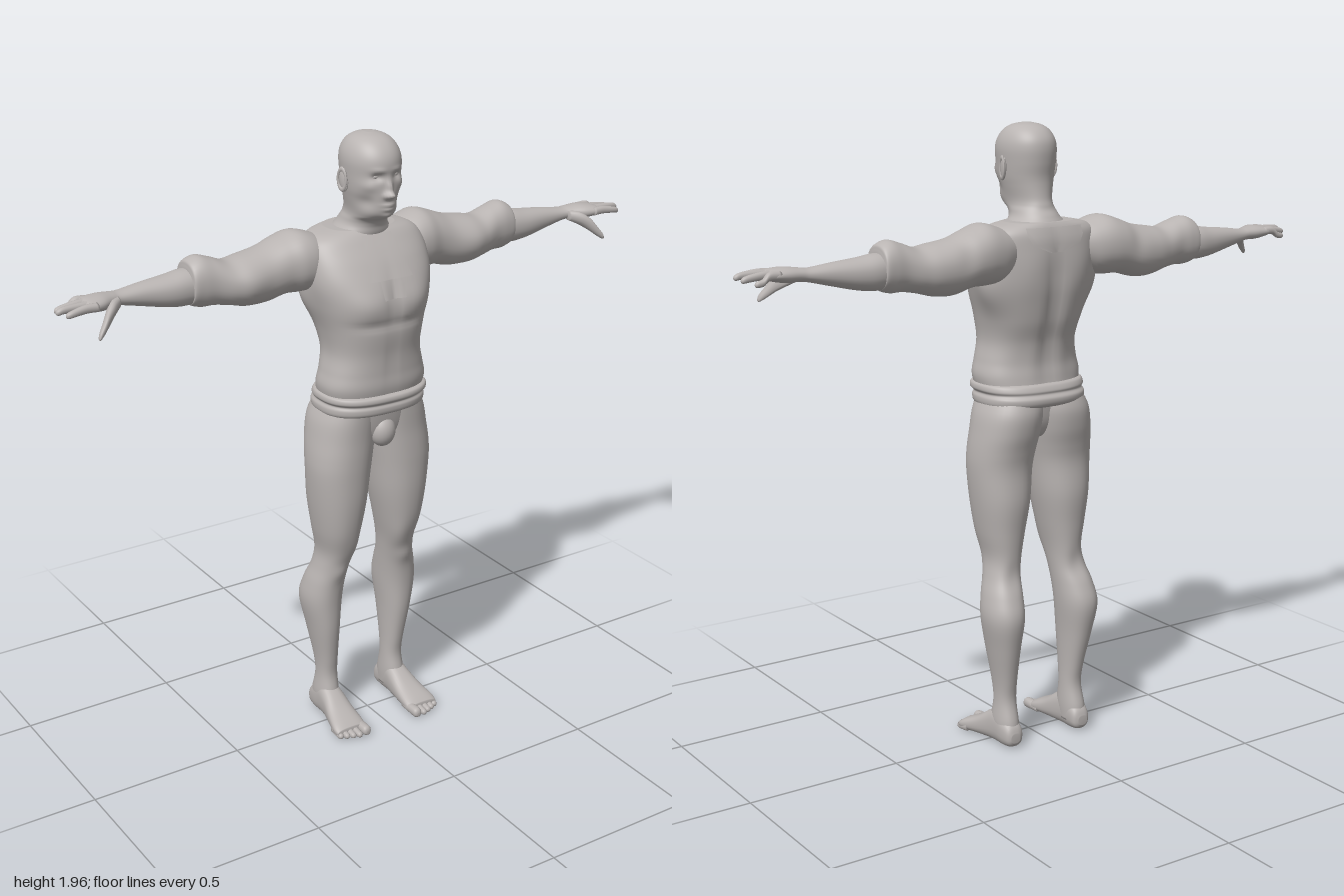
import * as THREE from 'three';

const grey = new THREE.MeshStandardMaterial({ color: 0xb9b4b2 });
grey.name = 'warm grey';
const greyPlate = grey.clone();
greyPlate.side = THREE.DoubleSide;

// Closed smooth skin through cross-sections [t, aMin, aMax, bMin, bMax], t ascending.
// Axis x: a=y b=z. Axis y: a=z b=x. Axis z: a=x b=y.
function loft(axis, sections, { seg = 32, sub = 5, pow = 2.2 } = {}) {
  const at = (i) => sections[Math.min(Math.max(i, 0), sections.length - 1)];
  const rings = [];
  for (let i = 0; i < sections.length - 1; i++)
    for (let s = 0; s < sub; s++) {
      const u = s / sub;
      rings.push(at(i).map((_, k) => {
        const [p, q, r, w] = [at(i - 1)[k], at(i)[k], at(i + 1)[k], at(i + 2)[k]];
        return q + 0.5 * u * (r - p + u * (2 * p - 5 * q + 4 * r - w + u * (3 * (q - r) + w - p)));
      }));
    }
  rings.push(at(sections.length));
  const pos = [], idx = [];
  const put = (t, a, b) => pos.push(...(axis === 'x' ? [t, a, b] : axis === 'y' ? [b, t, a] : [a, b, t]));
  const bend = (v) => Math.sign(v) * Math.abs(v) ** (2 / pow);
  for (const [t, a0, a1, b0, b1] of rings)
    for (let j = 0; j < seg; j++) {
      const th = (j / seg) * Math.PI * 2;
      put(t, (a0 + a1) / 2 + (a1 - a0) / 2 * bend(Math.cos(th)), (b0 + b1) / 2 + (b1 - b0) / 2 * bend(Math.sin(th)));
    }
  const last = rings.length - 1, pole = rings.length * seg;
  for (const r of [rings[0], rings[last]]) put(r[0], (r[1] + r[2]) / 2, (r[3] + r[4]) / 2);
  for (let j = 0; j < seg; j++) {
    const k = (j + 1) % seg;
    for (let i = 0; i < last; i++) {
      const p = i * seg + j, q = i * seg + k;
      idx.push(p, q, p + seg, q, q + seg, p + seg);
    }
    idx.push(pole, k, j, pole + 1, last * seg + j, last * seg + k);
  }
  const g = new THREE.BufferGeometry();
  g.setAttribute('position', new THREE.Float32BufferAttribute(pos, 3));
  g.setIndex(idx);
  g.computeVertexNormals();
  return g;
}

// Push vertices with soft bumps [x,y,z, rx,ry,rz, dx,dy,dz], mirrored over x
function sculpt(g, bumps) {
  const p = g.attributes.position;
  const all = bumps.flatMap((b) => (b[0] === 0 ? [b] : [b, b.map((v, i) => (i === 0 || i === 6 ? -v : v))]));
  for (let i = 0; i < p.count; i++) {
    const v = [p.getX(i), p.getY(i), p.getZ(i)], out = [...v];
    for (const b of all) {
      let d = 0;
      for (let k = 0; k < 3; k++) d += ((v[k] - b[k]) / b[3 + k]) ** 2;
      const f = Math.exp(-d);
      for (let k = 0; k < 3; k++) out[k] += b[6 + k] * f;
    }
    p.setXYZ(i, ...out);
  }
  g.computeVertexNormals();
  return g;
}

function mirrored(g) {
  const m = g.clone().scale(-1, 1, 1), ix = m.index.array;
  for (let i = 0; i < ix.length; i += 3) [ix[i], ix[i + 1]] = [ix[i + 1], ix[i]];
  m.computeVertexNormals();
  return m;
}

// Thin plate following a surface; rows are [y, halfWidth]
function plate(target, rows, dir) {
  const ray = new THREE.Raycaster(), pos = [], idx = [], n = 12;
  rows.forEach(([y, w], r) => {
    for (let i = 0; i <= n; i++) {
      const x = w * (2 * i / n - 1);
      ray.set(new THREE.Vector3(x, y, dir), new THREE.Vector3(0, 0, -dir));
      const hit = ray.intersectObject(target)[0];
      pos.push(x, y, (hit ? hit.point.z : 0) + dir * 0.005);
      if (r && i) {
        const k = r * (n + 1) + i, q = k - n - 1;
        idx.push(...(dir > 0 ? [q - 1, k - 1, q, q, k - 1, k] : [q - 1, q, k - 1, q, k, k - 1]));
      }
    }
  });
  const g = new THREE.BufferGeometry();
  g.setAttribute('position', new THREE.Float32BufferAttribute(pos, 3));
  g.setIndex(idx);
  g.computeVertexNormals();
  return g;
}

export function createModel() {
  const model = new THREE.Group();
  model.name = 'figure';
  const add = (name, g, mat = grey) => {
    const m = new THREE.Mesh(g, mat);
    m.name = name;
    model.add(m);
    return m;
  };
  const pair = (name, g) => {
    add('left' + name, g);
    add('right' + name, mirrored(g));
  };

  // Head and neck with sculpted face
  add('head', sculpt(loft('y', [
    [1.60, -0.13, 0.02, -0.11, 0.11], [1.65, -0.13, 0.045, -0.095, 0.095], [1.68, -0.115, 0.052, -0.073, 0.073],
    [1.70, -0.1, 0.065, -0.066, 0.066], [1.715, -0.094, 0.095, -0.063, 0.063], [1.735, -0.088, 0.113, -0.065, 0.065],
    [1.77, -0.084, 0.117, -0.073, 0.073], [1.80, -0.084, 0.118, -0.079, 0.079], [1.84, -0.09, 0.118, -0.083, 0.083],
    [1.88, -0.093, 0.12, -0.085, 0.085], [1.91, -0.087, 0.11, -0.079, 0.079], [1.935, -0.068, 0.088, -0.064, 0.064],
    [1.95, -0.042, 0.06, -0.042, 0.042], [1.957, -0.01, 0.025, -0.014, 0.014],
  ], { seg: 88, sub: 8, pow: 2.1 }), [
    [0, 1.789, 0.12, 0.013, 0.011, 0.05, 0, 0, 0.024], [0, 1.812, 0.12, 0.009, 0.02, 0.05, 0, 0, 0.014],
    [0.013, 1.785, 0.115, 0.007, 0.007, 0.04, 0, 0, 0.007], [0.033, 1.842, 0.11, 0.016, 0.011, 0.04, 0, 0, -0.012],
    [0.032, 1.862, 0.11, 0.022, 0.008, 0.04, 0, 0, 0.004], [0, 1.757, 0.115, 0.02, 0.005, 0.04, 0, 0, 0.007],
    [0, 1.744, 0.115, 0.017, 0.005, 0.04, 0, 0, 0.007], [0, 1.72, 0.11, 0.018, 0.012, 0.04, 0, 0, 0.008],
    [0.055, 1.815, 0.09, 0.02, 0.016, 0.04, 0.002, 0, 0.005], [0.058, 1.765, 0.08, 0.02, 0.022, 0.04, -0.006, 0, -0.004],
  ]));
  pair('Eye', new THREE.SphereGeometry(0.012, 16, 12).scale(1.1, 0.75, 0.8).translate(0.033, 1.843, 0.092));
  const ear = new THREE.SphereGeometry(0.02, 20, 14).scale(0.4, 1.75, 0.85).rotateX(-0.12).rotateY(-0.25);
  pair('Ear', ear.translate(0.087, 1.822, 0.006));
  const rim = new THREE.TorusGeometry(0.016, 0.004, 8, 24).scale(1, 1.9, 1).rotateY(Math.PI / 2 - 0.25);
  pair('EarRim', rim.translate(0.092, 1.824, 0.005));

  // Shirt body with chest, shoulder blades, spine and waist
  const torso = add('shirtBody', sculpt(loft('y', [
    [1.13, -0.115, 0.12, -0.16, 0.16], [1.19, -0.105, 0.135, -0.174, 0.174], [1.24, -0.1, 0.136, -0.164, 0.164],
    [1.30, -0.11, 0.139, -0.153, 0.153], [1.37, -0.135, 0.148, -0.163, 0.163], [1.45, -0.15, 0.149, -0.185, 0.185],
    [1.52, -0.153, 0.134, -0.202, 0.202], [1.58, -0.154, 0.103, -0.205, 0.205], [1.63, -0.15, 0.066, -0.195, 0.195],
    [1.655, -0.14, 0.045, -0.165, 0.165], [1.668, -0.132, 0.03, -0.11, 0.11],
  ], { seg: 72, sub: 7, pow: 2.5 }), [
    [0.085, 1.465, 0.15, 0.07, 0.05, 0.1, 0, 0, 0.014], [0, 1.47, 0.15, 0.016, 0.07, 0.08, 0, 0, -0.008],
    [0.07, 1.4, 0.15, 0.07, 0.014, 0.08, 0, 0, -0.006], [0, 1.28, 0.14, 0.012, 0.08, 0.06, 0, 0, -0.004],
    [0.2, 1.46, -0.08, 0.06, 0.07, 0.07, 0.022, 0, 0], [0, 1.4, -0.15, 0.025, 0.18, 0.08, 0, 0, 0.016],
    [0.09, 1.52, -0.15, 0.06, 0.07, 0.07, 0, 0, -0.008], [0.05, 1.24, -0.11, 0.03, 0.07, 0.05, 0, 0, -0.005],
  ]));
  torso.updateMatrixWorld();

  // Open neck of the shirt, front and back
  add('neckOpening', plate(torso, [[1.655, 0.052], [1.63, 0.054], [1.6, 0.06], [1.57, 0.067], [1.535, 0.078]], 1), greyPlate);
  add('neckSlit', plate(torso, [[1.535, 0.04], [1.51, 0.04], [1.48, 0.038]], 1), greyPlate);
  add('backNeckOpening', plate(torso, [[1.655, 0.1], [1.63, 0.1], [1.605, 0.085], [1.59, 0.05], [1.58, 0.025]], -1), greyPlate);

  // Waistband made of two rolls
  add('waistband', loft('y', [
    [1.098, -0.115, 0.1, -0.155, 0.155], [1.108, -0.135, 0.132, -0.174, 0.174], [1.128, -0.139, 0.138, -0.177, 0.177],
    [1.141, -0.129, 0.134, -0.171, 0.171], [1.152, -0.13, 0.147, -0.179, 0.179], [1.167, -0.122, 0.145, -0.177, 0.177],
    [1.172, -0.11, 0.13, -0.165, 0.165],
  ], { seg: 56, sub: 5, pow: 2.5 }));

  // Hips between the legs
  add('hips', loft('y', [
    [0.985, -0.03, 0.05, -0.03, 0.03], [1.0, -0.07, 0.085, -0.08, 0.08], [1.05, -0.095, 0.103, -0.15, 0.15],
    [1.13, -0.105, 0.115, -0.16, 0.16],
  ], { seg: 40 }));
  add('crotch', new THREE.SphereGeometry(0.045, 24, 16).scale(0.95, 1.15, 0.9).translate(0, 1.035, 0.084));

  // Legs
  pair('Leg', sculpt(loft('y', [
    [0.03, -0.114, -0.01, 0.096, 0.162], [0.08, -0.112, 0.0, 0.093, 0.166], [0.15, -0.095, -0.012, 0.095, 0.16],
    [0.22, -0.104, -0.004, 0.095, 0.165], [0.33, -0.128, 0.012, 0.09, 0.185], [0.43, -0.145, 0.018, 0.08, 0.203],
    [0.50, -0.125, 0.025, 0.075, 0.195], [0.56, -0.1, 0.036, 0.07, 0.178], [0.62, -0.094, 0.058, 0.062, 0.17],
    [0.70, -0.1, 0.084, 0.045, 0.185], [0.80, -0.11, 0.099, 0.025, 0.2], [0.90, -0.105, 0.104, 0.012, 0.209],
    [0.96, -0.113, 0.105, 0.002, 0.208], [1.02, -0.127, 0.105, -0.008, 0.2], [1.08, -0.132, 0.108, -0.015, 0.188],
    [1.13, -0.118, 0.11, -0.015, 0.165],
  ], { seg: 40 }), [
    [0.122, 0.55, 0.035, 0.03, 0.03, 0.04, 0, 0, 0.008], [0.12, 0.56, -0.1, 0.03, 0.05, 0.04, 0, 0, 0.008],
    [0.09, 0.64, 0.06, 0.03, 0.05, 0.05, -0.004, 0, 0.004],
  ]));

  // Feet and toes
  pair('Foot', loft('z', [
    [-0.123, 0.115, 0.148, 0.02, 0.05], [-0.112, 0.1, 0.16, 0.006, 0.075], [-0.08, 0.096, 0.166, 0, 0.1],
    [-0.04, 0.094, 0.168, 0, 0.118], [0, 0.09, 0.173, 0, 0.1], [0.05, 0.086, 0.185, 0, 0.068],
    [0.1, 0.084, 0.196, 0, 0.045], [0.125, 0.088, 0.193, 0.003, 0.03],
  ], { pow: 2.5 }));
  for (let i = 0; i < 5; i++) {
    const x = [0.1, 0.127, 0.147, 0.166, 0.184][i], r = i ? 0.0105 : 0.016, tip = [0.16, 0.16, 0.153, 0.145, 0.135][i];
    pair('Toe', loft('z', [
      [0.08, x - r, x + r, 0.004, 0.03], [tip - 0.02, x - r, x + r, 0, 2.1 * r],
      [tip - 0.005, x - r * 0.8, x + r * 0.8, 0.002, 1.8 * r], [tip, x - r * 0.35, x + r * 0.35, 0.007, 1.2 * r],
    ], { seg: 14, sub: 4 }));
  }

  // Sleeves with a flared cuff
  pair('Sleeve', sculpt(loft('x', [
    [0.12, 1.53, 1.64, -0.13, -0.01], [0.17, 1.495, 1.662, -0.152, 0.025], [0.22, 1.488, 1.674, -0.163, 0.03],
    [0.27, 1.488, 1.66, -0.165, 0.02], [0.33, 1.476, 1.638, -0.163, 0.017], [0.4, 1.476, 1.626, -0.158, 0.02],
    [0.45, 1.486, 1.62, -0.148, 0.01], [0.5, 1.494, 1.637, -0.139, -0.003], [0.54, 1.494, 1.648, -0.139, -0.008],
    [0.57, 1.503, 1.637, -0.137, -0.013], [0.576, 1.512, 1.622, -0.128, -0.022], [0.578, 1.53, 1.6, -0.11, -0.04],
  ], { seg: 40, sub: 6 }), [
    [0.4, 1.56, 0.02, 0.06, 0.04, 0.05, 0, 0, 0.006], [0.36, 1.48, -0.1, 0.06, 0.04, 0.05, 0, -0.006, 0],
    [0.31, 1.6, -0.16, 0.03, 0.05, 0.05, 0, 0, 0.006],
  ]));

  // Forearm running into the palm
  pair('Forearm', loft('x', [
    [0.5, 1.515, 1.61, -0.122, -0.025], [0.58, 1.506, 1.613, -0.131, -0.022], [0.64, 1.511, 1.605, -0.126, -0.024],
    [0.72, 1.529, 1.597, -0.112, -0.034], [0.79, 1.546, 1.588, -0.1, -0.038], [0.82, 1.55, 1.59, -0.097, -0.03],
    [0.86, 1.549, 1.594, -0.099, -0.006], [0.9, 1.556, 1.59, -0.098, 0.005], [0.915, 1.565, 1.582, -0.09, 0],
  ]));

  // Fingers and thumb
  for (let i = 0; i < 4; i++) {
    const z0 = -0.085 + i * 0.027, z1 = -0.089 + i * 0.03, tip = [0.965, 0.992, 1.0, 0.983][i], y = [1.555, 1.565, 1.57, 1.566][i];
    const ring = (x, yy, z, r) => [x, yy - r, yy + r, z - r, z + r];
    pair('Finger', loft('x', [
      ring(0.885, 1.574, z0, 0.013), ring(0.92, 1.575, z0, 0.0125), ring(tip - 0.025, y + 0.005, z1, 0.0105),
      ring(tip - 0.006, y + 0.001, z1, 0.0085), ring(tip, y, z1, 0.003),
    ], { seg: 14, sub: 4 }));
  }
  pair('Thumb', loft('x', [
    [0.805, 1.55, 1.58, -0.055, -0.025], [0.835, 1.535, 1.578, -0.045, 0.004], [0.86, 1.517, 1.56, -0.014, 0.02],
    [0.882, 1.499, 1.53, 0.006, 0.031], [0.897, 1.489, 1.509, 0.018, 0.036], [0.902, 1.489, 1.496, 0.025, 0.034],
  ], { seg: 16 }));

  return model;
}
